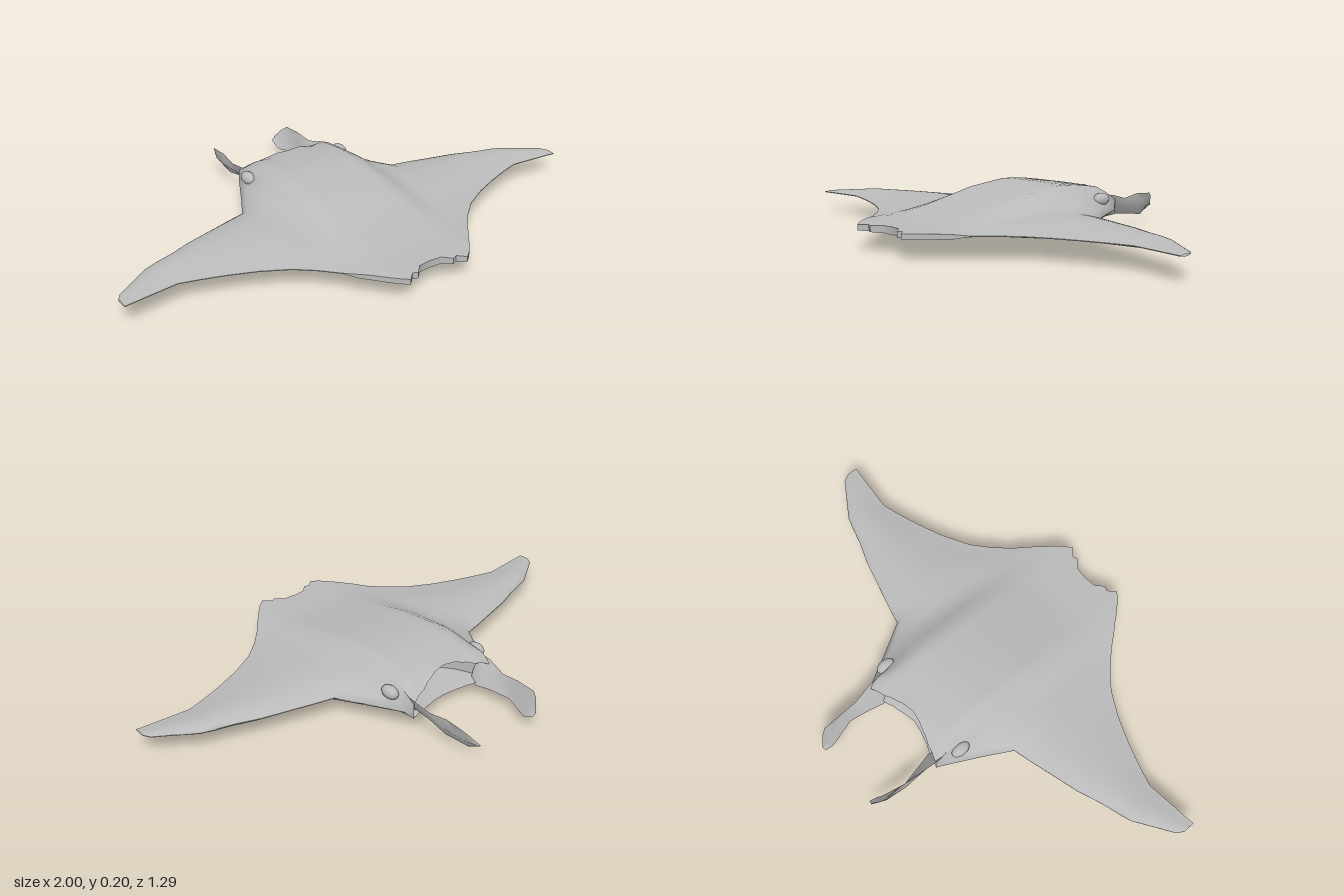
import * as THREE from 'three';
import { toCreasedNormals } from 'three/addons/utils/BufferGeometryUtils.js';

const MID = 0.088; // height of the fin plane

// Piecewise linear lookup in a list of [position, value] pairs
function lookup(table, p) {
  if (p <= table[0][0]) return table[0][1];
  for (let i = 1; i < table.length; i++) {
    const [p0, v0] = table[i - 1], [p1, v1] = table[i];
    if (p <= p1) return v0 + (v1 - v0) * (p - p0) / (p1 - p0);
  }
  return table[table.length - 1][1];
}

// Skin over rows of [x, y, z] points; skip(i, j) leaves a quad open
function skin(rows, closed, skip = () => false) {
  const n = rows[0].length, index = [];
  for (let i = 0; i < rows.length - 1; i++) {
    for (let j = 0; j < (closed ? n : n - 1); j++) {
      if (skip(i, j)) continue;
      const k = (j + 1) % n;
      const a = i * n + j, b = i * n + k, c = a + n, d = b + n;
      index.push(a, b, c, b, d, c);
    }
  }
  const g = new THREE.BufferGeometry();
  g.setAttribute('position', new THREE.Float32BufferAttribute(rows.flat(2), 3));
  g.setIndex(index);
  return toCreasedNormals(g, 0.8);
}

// Half span stations: x, leading z, trailing z
const outline = [
  [0, -0.31, 0.59], [0.05, -0.32, 0.595], [0.08, -0.33, 0.625], [0.1, -0.335, 0.617],
  [0.13, -0.348, 0.645], [0.16, -0.355, 0.62], [0.2, -0.37, 0.575], [0.215, -0.35, 0.555],
  [0.25, -0.285, 0.515], [0.29, -0.21, 0.465], [0.35, -0.105, 0.4], [0.42, -0.088, 0.34],
  [0.52, -0.06, 0.285], [0.63, -0.03, 0.24], [0.72, 0.005, 0.21], [0.79, 0.025, 0.19],
  [0.84, 0.042, 0.195], [0.92, 0.095, 0.203], [0.985, 0.138, 0.21], [1, 0.165, 0.212],
];

// Centre line heights along z, and how they fade sideways
const backLine = [[-0.37, 0.135], [-0.35, 0.148], [-0.32, 0.178], [-0.2, 0.197], [-0.1, 0.205],
  [0.08, 0.185], [0.3, 0.135], [0.45, 0.106], [0.64, 0.098]];
const bellyLine = [[-0.37, 0.05], [-0.3, 0.042], [-0.24, 0.012], [-0.15, 0], [0.08, 0.02],
  [0.3, 0.047], [0.42, 0.066], [0.64, 0.072]];
const backFade = [[0, 1], [0.16, 0.98], [0.2, 0.78], [0.25, 0.48], [0.3, 0.33], [0.42, 0.15], [0.55, 0]];
const bellyFade = [[0, 1], [0.15, 0.68], [0.25, 0.5], [0.35, 0.35], [0.55, 0]];
const finThickness = [[0, 0], [0.2, 0.035], [0.3, 0.042], [0.5, 0.034], [0.8, 0.022], [1, 0.004]];

const MOUTH = 0.2; // half width of the mouth

// Upper or lower surface point at x, fraction t of the chord
function surface(x, lead, trail, t, top) {
  const ax = Math.abs(x), z = lead + (trail - lead) * t;
  const fin = lookup(finThickness, ax) * Math.sin(Math.PI * Math.pow(t, 0.65));
  const front = ax > MOUTH ? Math.min(1, Math.sqrt(t / 0.2)) : 1;
  const rear = ax > 0.25 ? Math.min(1, Math.sqrt((1 - t) / 0.25)) : 1;
  const line = Math.abs(lookup(top ? backLine : bellyLine, z) - MID);
  const body = line * lookup(top ? backFade : bellyFade, ax) * front * rear;
  const h = Math.max(fin, body, 0.0015);
  return [x, top ? MID + h : MID - h, z];
}

export function createModel() {
  const model = new THREE.Group();
  const skinGrey = new THREE.MeshStandardMaterial({ color: 0xbababa, side: THREE.DoubleSide });
  skinGrey.name = 'skin grey';
  const add = (name, geometry) => {
    const mesh = new THREE.Mesh(geometry, skinGrey);
    mesh.name = name;
    model.add(mesh);
    return mesh;
  };

  // Body and fins in one skin, open at the mouth
  const stations = [...outline.slice(1).reverse().map(([x, a, b]) => [-x, a, b]), ...outline];
  const N = 18;
  const rings = stations.map(([x, lead, trail]) => {
    const ring = [];
    for (let j = 0; j <= N; j++) ring.push(surface(x, lead, trail, j / N, true));
    for (let j = N; j >= 0; j--) ring.push(surface(x, lead, trail, j / N, false));
    return ring;
  });
  const isMouth = i => Math.abs(stations[i][0]) <= MOUTH && Math.abs(stations[i + 1][0]) <= MOUTH;
  add('bodyAndFins', skin(rings, true, (i, j) => j === 2 * N + 1 && isMouth(i)));

  // Mouth hollow between the lips
  const mouthRows = stations.filter(s => Math.abs(s[0]) <= MOUTH).map(([x, lead, trail]) => {
    const upper = surface(x, lead, trail, 0, true), lower = surface(x, lead, trail, 0, false);
    const w = 1 - Math.pow(Math.abs(x) / MOUTH, 4);
    const inward = (p, y) => [x * (1 - 0.15 * w), p[1] + (y - p[1]) * w, p[2] + (-0.16 - p[2]) * w];
    return [lower, inward(lower, 0.065), inward(upper, 0.14), upper];
  });
  add('mouth', skin(mouthRows, false));

  // Head fins: curled blades, sections from upper outer edge to lower inner edge
  // Each: upper x, y, z, lower x, y, z, half thickness
  const blade = [
    [0.2, 0.15, -0.31, 0.15, 0.045, -0.31, 0.014],
    [0.202, 0.143, -0.36, 0.135, 0.052, -0.355, 0.011],
    [0.19, 0.122, -0.44, 0.15, 0.056, -0.42, 0.007],
    [0.184, 0.133, -0.52, 0.166, 0.05, -0.5, 0.006],
    [0.184, 0.128, -0.6, 0.142, 0.034, -0.59, 0.005],
    [0.172, 0.112, -0.622, 0.135, 0.042, -0.612, 0.004],
    [0.146, 0.075, -0.648, 0.132, 0.062, -0.645, 0.002],
  ];
  for (const side of [1, -1]) {
    const rows = blade.map(([ux, uy, uz, lx, ly, lz, h]) => {
      const mx = (ux + lx) / 2 + 0.008, my = (uy + ly) / 2, mz = (uz + lz) / 2;
      const ring = [[ux, uy, uz], [mx + h, my, mz], [lx, ly, lz], [mx - h, my, mz]]
        .map(([x, y, z]) => [side * x, y, z]);
      return side > 0 ? ring : ring.reverse();
    });
    const name = side > 0 ? 'left' : 'right';
    add(name + 'HeadFin', skin(rows.reverse(), true));

    // Eye bulge on the side of the head
    const eye = add(name + 'EyeBulge', new THREE.SphereGeometry(1, 12, 8));
    eye.scale.set(0.025, 0.025, 0.04);
    eye.position.set(side * 0.222, 0.138, -0.265);
  }
  return model;
}
